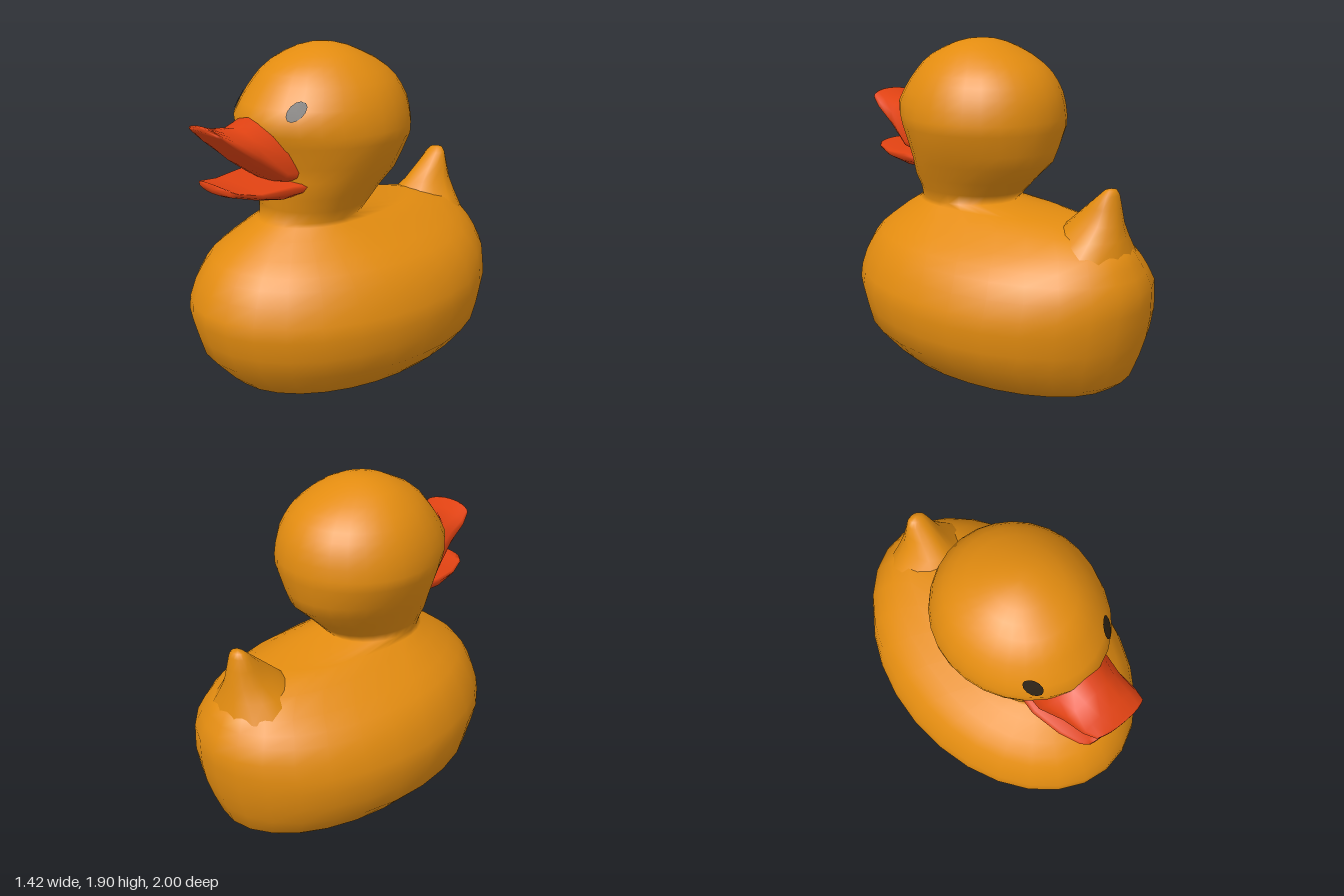
import * as THREE from 'three';
import { mergeVertices } from 'three/addons/utils/BufferGeometryUtils.js';

const yellow = new THREE.MeshStandardMaterial({ color: 0xe38c10 });
yellow.name = 'duckYellow';
const red = new THREE.MeshStandardMaterial({ color: 0xe04212 });
red.name = 'beakRed';
const dark = new THREE.MeshStandardMaterial({ color: 0x2b2114 });
dark.name = 'eyeDark';

// Skin over rings; each ring is { w, mid, p, q }: half width and [y, z] of its side, first and second extremes
function loft(name, material, rings, sides) {
  const pos = [], index = [];
  rings.forEach(({ w, mid, p, q }, j) => {
    for (let i = 0; i < sides; i++) {
      const a = (i / sides) * Math.PI * 2, s = Math.sin(a), end = s > 0 ? p : q, k = Math.abs(s);
      pos.push(w * Math.cos(a), mid[0] + (end[0] - mid[0]) * k, mid[1] + (end[1] - mid[1]) * k);
      if (j === 0) continue;
      const n = (i + 1) % sides, lo = (j - 1) * sides, hi = j * sides;
      index.push(lo + i, hi + i, lo + n, lo + n, hi + i, hi + n);
    }
  });
  let geo = new THREE.BufferGeometry();
  geo.setAttribute('position', new THREE.Float32BufferAttribute(pos, 3));
  geo.setIndex(index);
  geo = mergeVertices(geo, 1e-5);
  geo.computeVertexNormals();
  const mesh = new THREE.Mesh(geo, material);
  mesh.name = name;
  return mesh;
}

// Horizontal ring: height, half width, z of the widest point, front z, back z
const level = ([y, w, zc, zf, zb]) => ({ w, mid: [y, zc], p: [y, zf], q: [y, zb] });
// Beak ring: half width, then [y, z] of edge, top and bottom
const slice = ([w, edge, top, bottom]) => ({ w, mid: edge, p: bottom, q: top });

export function createModel() {
  const duck = new THREE.Group();
  duck.name = 'toyDuck';

  // Body with flat base, narrowing into the neck
  const bodyRows = [
    [0, 0, 0, 0, 0],
    [0, 0.46, 0, 0.72, -0.78],
    [0.005, 0.49, 0, 0.75, -0.82],
    [0.06, 0.55, 0, 0.81, -0.89],
    [0.19, 0.665, 0, 0.93, -0.935],
    [0.3, 0.69, 0, 0.965, -0.97],
    [0.42, 0.712, 0, 1.0, -0.99],
    [0.5, 0.695, 0, 0.995, -0.995],
    [0.6, 0.665, 0, 0.96, -1.0],
    [0.68, 0.615, 0.02, 0.915, -0.965],
    [0.74, 0.565, 0.05, 0.865, -0.935],
    [0.8, 0.485, 0.09, 0.79, -0.9],
    [0.88, 0.37, 0.16, 0.68, -0.8],
    [0.935, 0.29, 0.22, 0.585, -0.5],
  ];
  // Neck and head, drawn forward towards the beak
  const headRows = [
    [0.955, 0.27, 0.25, 0.56, -0.06],
    [1.02, 0.3, 0.24, 0.55, -0.12],
    [1.1, 0.335, 0.23, 0.585, -0.2],
    [1.2, 0.385, 0.19, 0.58, -0.305],
    [1.28, 0.42, 0.16, 0.6, -0.33],
    [1.4, 0.465, 0.12, 0.645, -0.36],
    [1.46, 0.47, 0.12, 0.67, -0.36],
    [1.53, 0.458, 0.12, 0.685, -0.353],
    [1.6, 0.44, 0.12, 0.64, -0.335],
    [1.66, 0.41, 0.12, 0.6, -0.305],
    [1.71, 0.38, 0.12, 0.56, -0.27],
    [1.76, 0.335, 0.13, 0.52, -0.22],
    [1.81, 0.28, 0.14, 0.455, -0.145],
    [1.85, 0.22, 0.15, 0.37, -0.06],
    [1.88, 0.15, 0.15, 0.305, 0.01],
    [1.898, 0.08, 0.15, 0.23, 0.08],
    [1.905, 0, 0.15, 0.15, 0.15],
  ];
  const body = loft('bodyAndHead', yellow, [...bodyRows, ...headRows].map(level), 28);
  duck.add(body);

  // Upturned tail
  duck.add(loft('tail', yellow, [
    [0.78, 0.28, -0.66, -0.4, -0.9],
    [0.88, 0.19, -0.7, -0.46, -0.875],
    [0.96, 0.125, -0.73, -0.55, -0.86],
    [1.05, 0.09, -0.76, -0.65, -0.845],
    [1.12, 0.065, -0.78, -0.73, -0.832],
    [1.148, 0.04, -0.79, -0.76, -0.82],
    [1.157, 0, -0.79, -0.79, -0.79],
  ].map(level), 14));

  // Open beak
  duck.add(loft('upperBeak', red, [
    [0.23, [1.26, 0.48], [1.54, 0.58], [1.16, 0.48]],
    [0.235, [1.27, 0.59], [1.55, 0.68], [1.2, 0.6]],
    [0.2, [1.38, 0.74], [1.505, 0.76], [1.31, 0.76]],
    [0.185, [1.45, 0.87], [1.51, 0.87], [1.42, 0.88]],
    [0.16, [1.5, 0.94], [1.54, 0.955], [1.5, 0.955]],
    [0.13, [1.515, 0.95], [1.54, 0.97], [1.515, 0.968]],
    [0, [1.528, 0.965], [1.528, 0.965], [1.528, 0.965]],
  ].map(slice), 16));
  duck.add(loft('lowerBeak', red, [
    [0.25, [1.18, 0.46], [1.22, 0.46], [1.1, 0.46]],
    [0.262, [1.19, 0.57], [1.215, 0.57], [1.09, 0.6]],
    [0.225, [1.18, 0.75], [1.195, 0.75], [1.125, 0.75]],
    [0.18, [1.2, 0.87], [1.21, 0.88], [1.16, 0.88]],
    [0.15, [1.205, 0.9], [1.228, 0.918], [1.175, 0.915]],
    [0, [1.2, 0.92], [1.2, 0.92], [1.2, 0.92]],
  ].map(slice), 16));

  // Eyes: thin ovals laid onto the head surface
  body.updateMatrixWorld(true);
  const ray = new THREE.Raycaster();
  for (const side of [1, -1]) {
    const geo = new THREE.CircleGeometry(1, 12);
    const p = geo.attributes.position;
    for (let i = 0; i < p.count; i++) {
      const x = side * 0.25 + p.getX(i) * 0.038, y = 1.597 + p.getY(i) * 0.051;
      ray.set(new THREE.Vector3(x, y, 2), new THREE.Vector3(0, 0, -1));
      const hit = ray.intersectObject(body)[0];
      const v = hit.point.addScaledVector(hit.face.normal, 0.007);
      p.setXYZ(i, v.x, v.y, v.z);
    }
    geo.computeVertexNormals();
    const eye = new THREE.Mesh(geo, dark);
    eye.name = side > 0 ? 'leftEye' : 'rightEye';
    duck.add(eye);
  }
  return duck;
}
